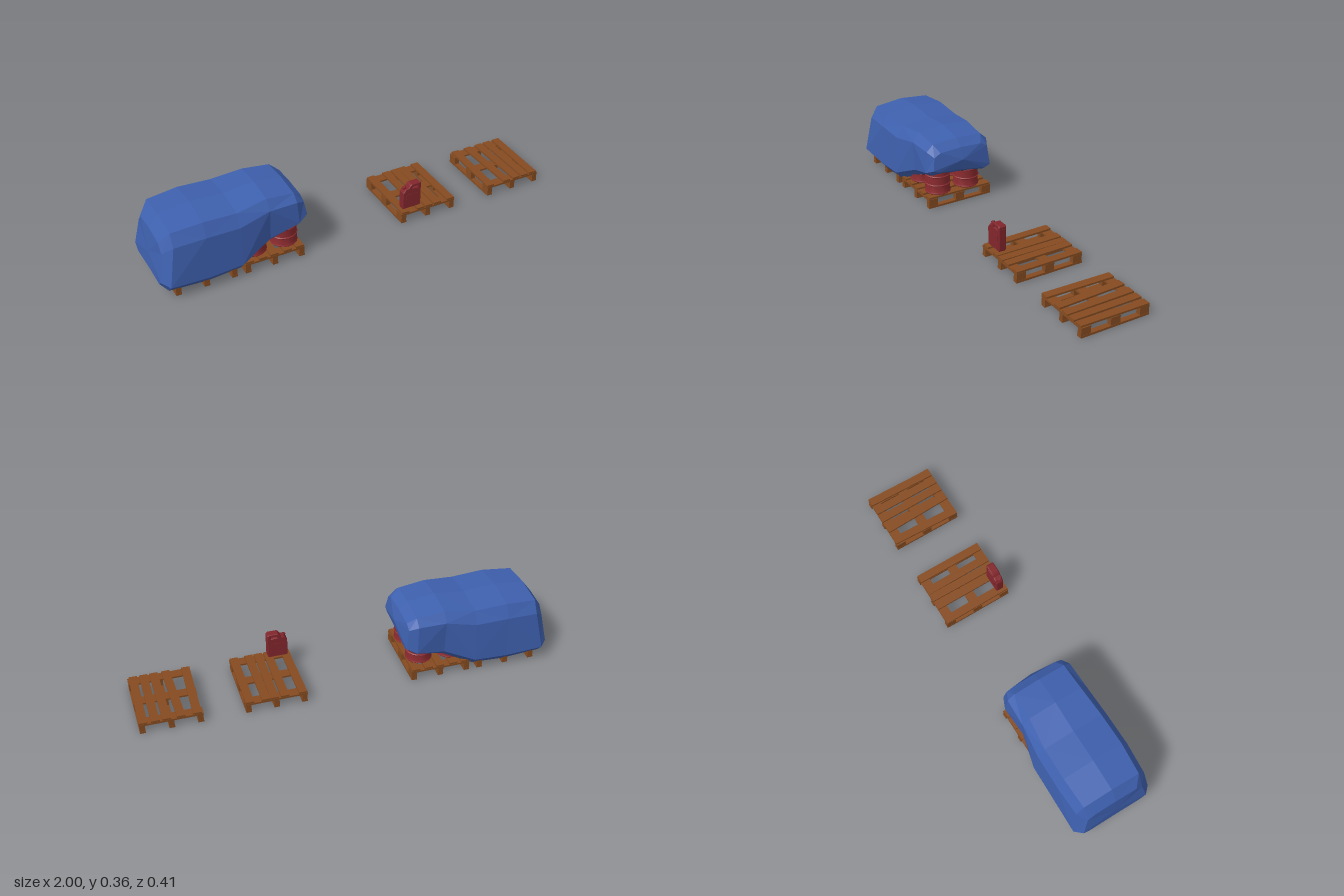
import * as THREE from 'three';
import { toCreasedNormals } from 'three/addons/utils/BufferGeometryUtils.js';

const wood = new THREE.MeshStandardMaterial({ color: 0x854b20 });
const barrelRed = new THREE.MeshStandardMaterial({ color: 0x8c2b2f });
const canRed = new THREE.MeshStandardMaterial({ color: 0x82262c });
const tarpBlue = new THREE.MeshStandardMaterial({ color: 0x3e60ae });

function add(parent, name, geometry, material, x = 0, y = 0, z = 0) {
  const mesh = new THREE.Mesh(geometry, material);
  mesh.name = name;
  mesh.position.set(x, y, z);
  parent.add(mesh);
  return mesh;
}

// Pallet: three runners on blocks, three cross boards, five loose deck slats
function makePallet(name, x, slats) {
  const pallet = new THREE.Group();
  pallet.name = name;
  pallet.position.x = x;
  const runner = new THREE.BoxGeometry(0.027, 0.01, 0.35);
  const block = new THREE.BoxGeometry(0.025, 0.03, 0.048);
  const cross = new THREE.BoxGeometry(0.296, 0.009, 0.048);
  const slat = new THREE.BoxGeometry(0.04, 0.009, 0.346);
  for (const i of [-1, 0, 1]) {
    add(pallet, 'runner', runner, wood, i * 0.134, 0.005, 0);
    add(pallet, 'crossBoard', cross, wood, 0, 0.0445, i * 0.15);
    for (const k of [-1, 0, 1]) add(pallet, 'block', block, wood, i * 0.134, 0.025, k * 0.15);
  }
  slats.forEach(([sx, turn]) => {
    add(pallet, 'deckSlat', slat, wood, sx, 0.0535, 0).rotation.y = turn;
  });
  return pallet;
}

// Steel drum with two rolled ribs and a recessed lid
function makeBarrel(x, z) {
  const profile = [
    [0, 0], [0.063, 0], [0.066, 0.004], [0.063, 0.01], [0.063, 0.045], [0.067, 0.049],
    [0.063, 0.053], [0.063, 0.092], [0.067, 0.096], [0.063, 0.1], [0.063, 0.138],
    [0.066, 0.142], [0.064, 0.146], [0.059, 0.146], [0.059, 0.141], [0, 0.141],
  ].map(([r, y]) => new THREE.Vector2(r, y));
  const geometry = toCreasedNormals(new THREE.LatheGeometry(profile, 16), 0.5);
  const group = new THREE.Group();
  group.name = 'barrel';
  group.position.set(x, 0.058, z);
  add(group, 'drum', geometry, barrelRed);
  return group;
}

// Jerry can: extruded side outline with a handle opening, raised panels and a cap
function makeCan() {
  const can = new THREE.Group();
  can.name = 'fuelCan';
  can.position.set(0.275, 0.062, 0.137);
  const shape = new THREE.Shape([
    [-0.044, 0.004], [0.044, 0.004], [0.046, 0.008], [0.046, 0.124], [0.041, 0.129],
    [-0.002, 0.129], [-0.01, 0.122], [-0.018, 0.11], [-0.034, 0.107], [-0.046, 0.09], [-0.046, 0.008],
  ].map(([x, y]) => new THREE.Vector2(x, y)));
  shape.holes.push(new THREE.Path([
    [-0.004, 0.108], [0.003, 0.119], [0.034, 0.119], [0.034, 0.104],
  ].map(([x, y]) => new THREE.Vector2(x, y))));
  const body = new THREE.ExtrudeGeometry(shape, {
    depth: 0.03, bevelEnabled: true, bevelSize: 0.003, bevelThickness: 0.004, bevelSegments: 1,
  });
  body.translate(0, 0, -0.015);
  add(can, 'canBody', body, canRed);
  for (const s of [-1, 1]) {
    add(can, 'canPanel', new THREE.BoxGeometry(0.066, 0.066, 0.003), canRed, 0, 0.046, s * 0.019);
  }
  add(can, 'canEndPanel', new THREE.BoxGeometry(0.003, 0.1, 0.024), canRed, 0.049, 0.064, 0);
  const cap = toCreasedNormals(new THREE.CylinderGeometry(0.009, 0.009, 0.02, 10), 0.7);
  add(can, 'canCap', cap, canRed, -0.033, 0.109, 0).rotation.z = 0.4;
  return can;
}

// Tarp: lofted cross-sections along x, faceted and closed at both ends
function makeTarp() {
  // lower x, upper x, front hem, back hem, top, lower half width, upper half width
  const sections = [
    [-0.998, -0.975, 0.065, 0.06, 0.275, 0.17, 0.145],
    [-0.965, -0.93, 0.035, 0.035, 0.335, 0.204, 0.18],
    [-0.78, -0.78, 0.021, 0.02, 0.35, 0.2, 0.188],
    [-0.62, -0.62, 0.035, 0.03, 0.341, 0.199, 0.186],
    [-0.47, -0.47, 0.115, 0.1, 0.357, 0.166, 0.172],
    [-0.33, -0.335, 0.168, 0.135, 0.338, 0.178, 0.168],
    [-0.282, -0.293, 0.2, 0.165, 0.302, 0.158, 0.148],
  ];
  const rings = sections.map(([xl, xu, front, back, top, wl, wu]) => {
    const fall = top - front;
    const side = (s, hem) => [
      [xl, hem, s * wl * 0.82],
      [xl, hem + fall * 0.13, s * wl],
      [xu, top - fall * 0.24, s * wu],
      [xu, top - fall * 0.05, s * (wu - 0.035)],
    ];
    return [
      [xl, (front + back) / 2 + 0.005, 0],
      ...side(1, front),
      [xu, top, 0],
      ...side(-1, back).reverse(),
    ];
  });
  const pos = [];
  const tri = (a, b, c) => pos.push(...a, ...b, ...c);
  const n = rings[0].length;
  for (let i = 0; i < rings.length - 1; i++) {
    for (let j = 0; j < n; j++) {
      const k = (j + 1) % n;
      const [a, b, c, d] = [rings[i][j], rings[i + 1][j], rings[i + 1][k], rings[i][k]];
      if ((i + j) % 2) { tri(a, b, c); tri(a, c, d); } else { tri(a, b, d); tri(b, c, d); }
    }
  }
  const first = rings[0], last = rings[rings.length - 1];
  for (let j = 0; j < n; j++) {
    const k = (j + 1) % n;
    tri([-0.992, 0.15, 0], first[j], first[k]);
    tri([-0.27, 0.245, 0], last[k], last[j]);
  }
  const geometry = new THREE.BufferGeometry();
  geometry.setAttribute('position', new THREE.Float32BufferAttribute(pos, 3));
  geometry.computeVertexNormals();
  return geometry;
}

export function createModel() {
  const model = new THREE.Group();
  model.name = 'palletCargo';

  const even = [[-0.125, 0], [-0.062, 0.02], [0, -0.015], [0.062, 0.01], [0.125, 0]];
  const loose = [[-0.125, 0.01], [-0.04, 0], [0.008, -0.01], [0.052, 0.01], [0.127, 0]];
  const spread = [[-0.125, -0.03], [-0.04, 0.035], [0.022, 0.01], [0.072, 0], [0.125, -0.02]];
  model.add(
    makePallet('coveredPallet', -0.79, even),
    makePallet('barrelPallet', -0.455, even),
    makePallet('canPallet', 0.357, loose),
    makePallet('emptyPallet', 0.85, spread),
  );

  for (const x of [-0.375, -0.53]) for (const z of [0.09, -0.07]) model.add(makeBarrel(x, z));
  model.add(makeCan());
  add(model, 'tarp', makeTarp(), tarpBlue);
  return model;
}
